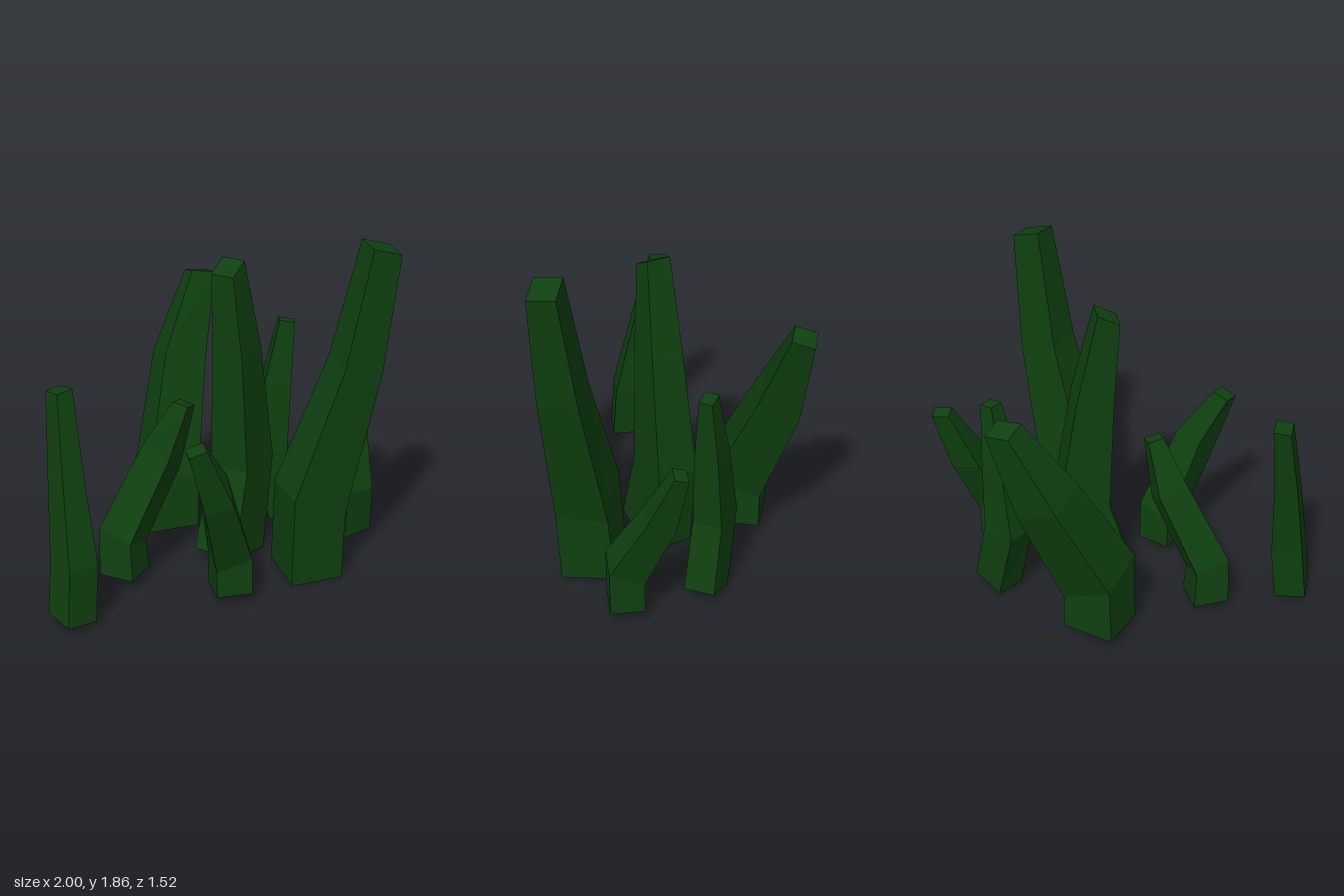
import * as THREE from 'three';

const deepGreen = new THREE.MeshStandardMaterial({ color: 0x0f4010, flatShading: true });
deepGreen.name = 'deepGreen';

// Four-sided tapering stalk lofted through rings, bottom to top.
// ring: [centreX, centreY, centreZ, halfWidth, halfDepth, slopeX, slopeZ]
function stalk(name, yaw, rings) {
  const c = Math.cos(yaw), s = Math.sin(yaw);
  const loops = rings.map(([x, y, z, w, d, sx = 0, sz = 0]) =>
    [[-1, 1], [1, 1], [1, -1], [-1, -1]].map(([a, b]) => {
      const dx = a * w * c - b * d * s;
      const dz = a * w * s + b * d * c;
      return [x + dx, y + sx * dx + sz * dz, z + dz];
    }));
  const pos = [];
  const quad = (p, q, r, t) => pos.push(...p, ...q, ...r, ...p, ...r, ...t);
  for (let i = 0; i < loops.length - 1; i++) {
    const lo = loops[i], hi = loops[i + 1];
    for (let k = 0; k < 4; k++) {
      const n = (k + 1) % 4;
      quad(lo[k], lo[n], hi[n], hi[k]);
    }
  }
  // end caps
  quad(...loops[loops.length - 1]);
  quad(...[...loops[0]].reverse());
  const geo = new THREE.BufferGeometry();
  geo.setAttribute('position', new THREE.Float32BufferAttribute(pos, 3));
  geo.computeVertexNormals();
  const mesh = new THREE.Mesh(geo, deepGreen);
  mesh.name = name;
  return mesh;
}

export function createModel() {
  const group = new THREE.Group();
  group.name = 'stalkCluster';

  group.add(
    stalk('backStalk', 0, [
      [-0.115, 0.07, -0.345, 0.145, 0.135],
      [-0.11, 0.37, -0.345, 0.14, 0.135, -0.45, 0.3],
      [0.05, 0.95, -0.58, 0.115, 0.11, -0.4, 0.3],
      [0.22, 1.4, -0.705, 0.068, 0.06, -0.15, 0.25],
    ]),
    stalk('tallStalk', 0, [
      [0.445, 0.02, 0.355, 0.145, 0.145, 0, -0.1],
      [0.445, 0.46, 0.38, 0.145, 0.14, -0.4, 0],
      [0.655, 1.21, 0.435, 0.105, 0.105, -0.2, 0],
      [0.757, 1.84, 0.473, 0.077, 0.073, -0.3, -0.1],
    ]),
    stalk('centreStalk', 0.89, [
      [0.105, 0.06, 0.08, 0.125, 0.16, -0.18, 0.14],
      [0.203, 0.55, 0.01, 0.112, 0.142],
      [0.15, 1.2, 0.053, 0.089, 0.1, 0.15, 0],
      [0.083, 1.69, 0.09, 0.064, 0.058, 0.4, -0.32],
    ]),
    stalk('outerRightStalk', -0.3, [
      [-0.895, 0.04, 0.455, 0.084, 0.093, -0.1, 0],
      [-0.87, 0.34, 0.43, 0.085, 0.09],
      [-0.872, 0.8, 0.34, 0.062, 0.07],
      [-0.865, 1.215, 0.245, 0.046, 0.052, 0.1, 0.1],
    ]),
    stalk('innerRightStalk', Math.PI / 4, [
      [-0.515, 0.07, 0.135, 0.098, 0.098],
      [-0.52, 0.285, 0.133, 0.09, 0.09, -0.5, 0],
      [-0.285, 0.71, 0.108, 0.07, 0.07, -0.85, 0],
      [-0.175, 0.993, 0.137, 0.042, 0.042, -0.3, 0],
    ]),
    stalk('frontStalk', 0.1, [
      [-0.05, 0.07, 0.5, 0.095, 0.09],
      [-0.053, 0.265, 0.5, 0.095, 0.09, 0.3, -0.2],
      [-0.182, 0.7, 0.637, 0.077, 0.077, 0.2, -0.7],
      [-0.315, 1.0, 0.708, 0.046, 0.045, 0.3, -0.1],
    ]),
    stalk('outerLeftStalk', -0.32, [
      [0.8, 0.07, 0.105, 0.095, 0.09],
      [0.805, 0.295, 0.105, 0.095, 0.09, 0, 0.4],
      [0.867, 0.66, -0.085, 0.075, 0.075, 0, 0.3],
      [0.945, 1.0, -0.208, 0.047, 0.035, 0, 0.3],
    ]),
    stalk('backLeftStalk', 0.24, [
      [0.578, 0.05, -0.278, 0.093, 0.085, 0.3, 0],
      [0.48, 0.45, -0.305, 0.103, 0.08],
      [0.522, 0.85, -0.292, 0.075, 0.065],
      [0.572, 1.21, -0.28, 0.042, 0.036, -0.2, 0],
    ]),
  );
  return group;
}
